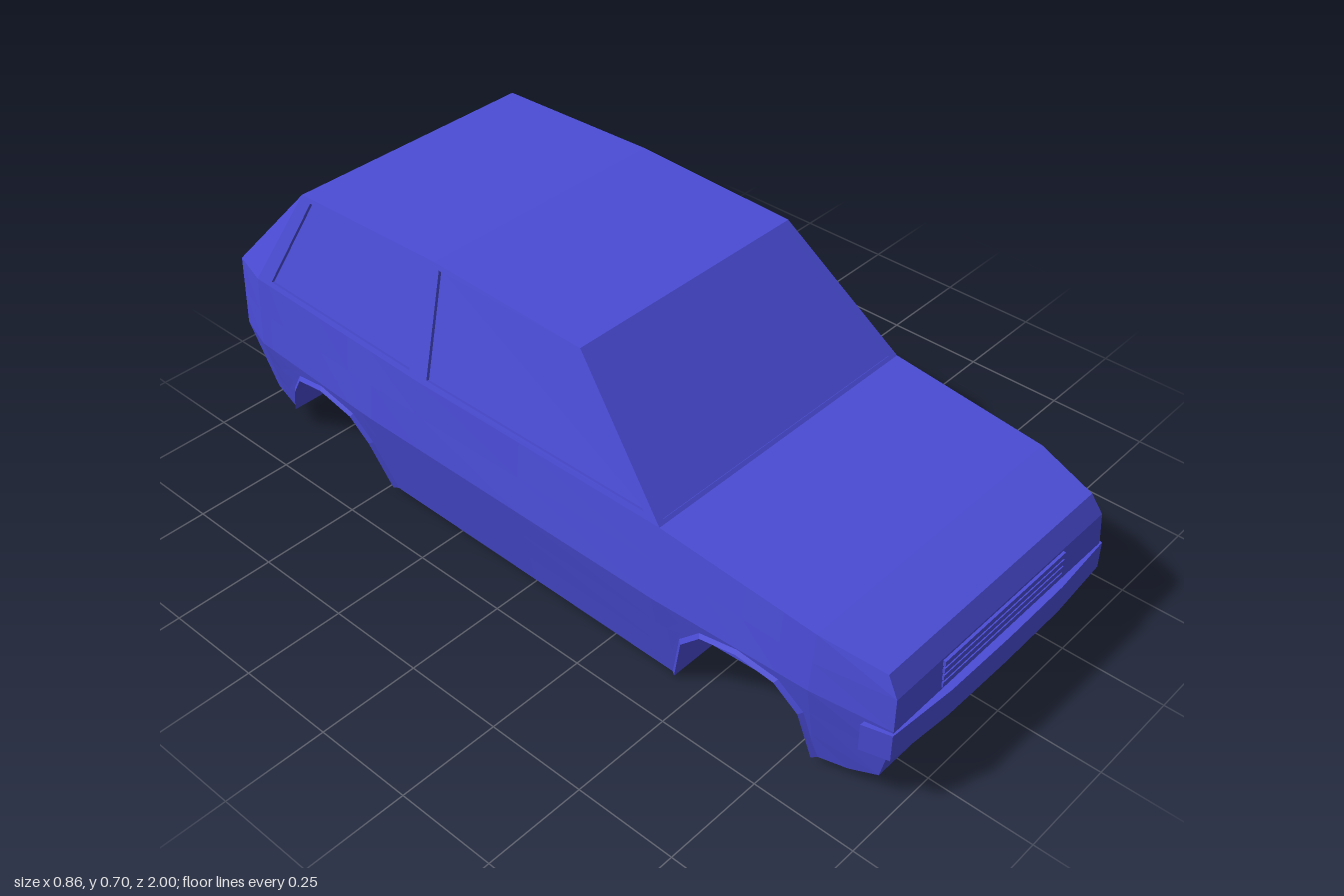
import * as THREE from 'three';

const paint = new THREE.MeshStandardMaterial({ color: 0x4a4cd6, side: THREE.DoubleSide });
paint.name = 'blue paint';

// Piecewise linear lookup: keys are [z, value] with z falling from front to rear
function along(keys, z) {
  if (z >= keys[0][0]) return keys[0][1];
  for (let i = 1; i < keys.length; i++) {
    const [z0, v0] = keys[i - 1], [z1, v1] = keys[i];
    if (z >= z1) return v0 + (v1 - v0) * (z - z0) / (z1 - z0);
  }
  return keys[keys.length - 1][1];
}
const floorY = z => along([[0.88, 0.03], [0.8, 0.02], [0.43, 0], [-0.48, 0.01], [-0.77, 0.015], [-0.94, 0.07]], z);
const floorX = z => along([[0.88, 0.362], [0.8, 0.375], [0.43, 0.378], [-0.77, 0.378], [-0.94, 0.36]], z);
const waistY = z => along([[0.98, 0.22], [0.8, 0.235], [-1, 0.25]], z);
const waistX = z => along([[0.98, 0.372], [0.8, 0.41], [0.4, 0.428], [-0.5, 0.43], [-0.9, 0.413], [-1, 0.38]], z);
const beltY = z => along([[0.95, 0.345], [0.8, 0.375], [0.4, 0.415], [-1, 0.435]], z);
const beltX = z => along([[0.95, 0.36], [0.8, 0.393], [0.4, 0.402], [-0.32, 0.412], [-0.9, 0.402], [-1, 0.372]], z);
const belt = z => [beltX(z), beltY(z), z];
const roofSide = [[0.335, 0.69, 0.12], [0.335, 0.705, -0.32], [0.335, 0.69, -0.77]];

// Wheel arch outlines as [z, y], front to rear
const arches = [
  [[0.8, 0.02], [0.775, 0.145], [0.72, 0.205], [0.625, 0.224], [0.53, 0.205], [0.47, 0.14], [0.43, 0]],
  [[-0.48, 0.01], [-0.52, 0.14], [-0.565, 0.205], [-0.67, 0.228], [-0.76, 0.208], [-0.81, 0.14], [-0.86, floorY(-0.86)]],
];

const lerp3 = (a, b, t) => a.map((v, i) => v + (b[i] - v) * t);
const flip = p => [-p[0], p[1], p[2]];
const mirrorLoop = loop => loop.map(flip);
const mirrorTris = tris => tris.map(([a, b, c]) => [flip(a), flip(c), flip(b)]);

// Triangles between two equal loops of points
function strip(a, b, closed = false) {
  const tris = [];
  for (let i = 0; i < a.length - (closed ? 0 : 1); i++) {
    const j = (i + 1) % a.length;
    tris.push([a[i], b[i], b[j]], [a[i], b[j], a[j]]);
  }
  return tris;
}
const loft = loops => loops.slice(1).flatMap((loop, i) => strip(loops[i], loop));

function addTris(group, name, tris) {
  const geometry = new THREE.BufferGeometry();
  geometry.setAttribute('position', new THREE.Float32BufferAttribute(tris.flat(2), 3));
  geometry.computeVertexNormals();
  return addMesh(group, name, geometry);
}
function addMesh(group, name, geometry) {
  const mesh = new THREE.Mesh(geometry, paint);
  mesh.name = name;
  group.add(mesh);
  return mesh;
}
function addPair(group, name, tris) {
  addTris(group, name + 'Left', tris);
  addTris(group, name + 'Right', mirrorTris(tris));
}

// Point on the lower body side
function sidePoint(z, y) {
  const t = (y - floorY(z)) / (waistY(z) - floorY(z));
  return [floorX(z) + (waistX(z) - floorX(z)) * t, y, z];
}
function sideColumn(z, bottom) {
  const w = waistY(z), waist = [waistX(z), w, z];
  const low = [0, 1 / 3, 2 / 3].map(t => sidePoint(z, bottom + (w - bottom) * t));
  return [...low, waist, lerp3(waist, belt(z), 0.5), belt(z)];
}

// Frame with a recessed pane; outer is bottom-left, bottom-right, top-right, top-left
function windowTris(outer, u0, u1, v0, v1) {
  const at = (u, v) => lerp3(lerp3(outer[0], outer[1], u), lerp3(outer[3], outer[2], u), v);
  const inner = [at(u0, v0), at(u1, v0), at(u1, v1), at(u0, v1)];
  const [p, q, , r] = inner.map(c => new THREE.Vector3(...c));
  const n = q.sub(p).cross(r.sub(p)).normalize().multiplyScalar(-0.008).toArray();
  const pane = inner.map(c => c.map((v, i) => v + n[i]));
  return {
    frame: [...strip(inner, outer, true), ...strip(pane, inner, true)],
    pane: [[pane[0], pane[1], pane[2]], [pane[0], pane[2], pane[3]]],
  };
}

export function createModel() {
  const car = new THREE.Group();
  car.name = 'carBody';

  // Body sides with arch cut-outs, nose and tail
  const nose = [[0.362, 0.03, 0.88], [0.357, 0.06, 0.95], [0.365, 0.14, 0.97],
    [0.372, 0.22, 0.982], [0.366, 0.3, 0.978], [0.36, 0.345, 0.95]];
  const tailLow = [0.36, 0.07, -0.94], tailWaist = [0.38, 0.25, -1], tailTop = belt(-1);
  const tail = [tailLow, lerp3(tailLow, tailWaist, 1 / 3), lerp3(tailLow, tailWaist, 2 / 3),
    tailWaist, lerp3(tailWaist, tailTop, 0.5), tailTop];
  const plain = z => [z, floorY(z)];
  const stations = [...arches[0], plain(0.4), plain(0), plain(-0.32), ...arches[1], plain(-0.9)];
  addPair(car, 'bodySide', loft([nose, ...stations.map(([z, y]) => sideColumn(z, y)), tail]));
  addTris(car, 'nosePanel', strip(mirrorLoop(nose), nose));
  addTris(car, 'tailPanel', strip(tail, mirrorLoop(tail)));

  // Bonnet and roof
  const bonnet = [nose[5], belt(0.8), belt(0.4)];
  addTris(car, 'bonnet', strip(mirrorLoop(bonnet), bonnet));
  addTris(car, 'roof', strip(mirrorLoop(roofSide), roofSide));

  // Floor: centre panel and the sills outside the wheel wells
  const wellX = 0.26;
  const centre = [0.88, 0.8, 0.43, -0.48, -0.77, -0.86, -0.94].map(z => [wellX, floorY(z), z]);
  addTris(car, 'floor', strip(centre, mirrorLoop(centre)));
  for (const zs of [[0.88, 0.8], [0.43, -0.48], [-0.86, -0.94]]) {
    addPair(car, 'sillFloor', strip(zs.map(z => [floorX(z), floorY(z), z]), zs.map(z => [wellX, floorY(z), z])));
  }

  // Wheel wells and raised arch lips
  arches.forEach((arch, k) => {
    const name = k ? 'rear' : 'front';
    const mid = (arch[0][0] + arch[6][0]) / 2;
    const edge = arch.map(([z, y]) => { const p = sidePoint(z, y); return [p[0] + 0.008, y, z]; });
    const rim = arch.map(([z, y]) => sidePoint(mid + (z - mid) * 1.06, y * 1.045));
    const inner = arch.map(([z, y]) => [wellX, y, z]);
    const foot = arch.map(([z]) => [wellX, floorY(z), z]);
    addPair(car, name + 'WheelWell', [...strip(edge, inner), ...strip(inner, foot)]);
    addPair(car, name + 'ArchLip', strip(rim, edge));
  });

  // Side windows and rear pillars
  const sides = {
    frontSide: windowTris([belt(0.4), belt(-0.32), roofSide[1], roofSide[0]], 0.045, 0.96, 0.05, 0.955),
    rearSide: windowTris([belt(-0.32), belt(-0.9), roofSide[2], roofSide[1]], 0.05, 0.92, 0.05, 0.955),
  };
  for (const [name, w] of Object.entries(sides)) {
    addPair(car, name + 'Frame', w.frame);
    addPair(car, name + 'Window', w.pane);
  }
  addPair(car, 'rearPillar', [[belt(-0.9), belt(-1), roofSide[2]]]);

  // Windscreen and rear window
  const screens = {
    windscreen: windowTris([flip(belt(0.4)), belt(0.4), roofSide[0], flip(roofSide[0])], 0.022, 0.978, 0.025, 0.955),
    rearWindow: windowTris([tailTop, flip(tailTop), flip(roofSide[2]), roofSide[2]], 0.025, 0.975, 0.04, 0.95),
  };
  for (const [name, w] of Object.entries(screens)) {
    addTris(car, name + 'Frame', w.frame);
    addTris(car, name + 'Glass', w.pane);
  }

  // Front bumper wrapping the corners
  const outline = [[0.36, 0.92], [0.396, 0.92], [0.378, 0.985], [0.2, 0.998], [0, 1]];
  const full = [...outline, ...outline.slice(0, -1).reverse().map(([x, z]) => [-x, z])];
  const bumper = new THREE.ExtrudeGeometry(new THREE.Shape(full.map(([x, z]) => new THREE.Vector2(x, -z))),
    { depth: 0.07, bevelEnabled: false });
  bumper.rotateX(-Math.PI / 2).translate(0, 0.145, 0);
  addMesh(car, 'frontBumper', bumper);

  // Grille slats
  for (let i = 0; i < 4; i++) {
    addMesh(car, 'grilleSlat', new THREE.BoxGeometry(0.43, 0.014, 0.012)).position.set(0, 0.23 + i * 0.0193, 0.979);
  }

  // Exhaust pipes
  for (const x of [-0.22, 0.22]) {
    const pipe = addMesh(car, 'exhaustPipe', new THREE.CylinderGeometry(0.01, 0.01, 0.12, 8));
    pipe.rotation.x = Math.PI / 2;
    pipe.position.set(x, 0.053, -0.885);
  }
  return car;
}
